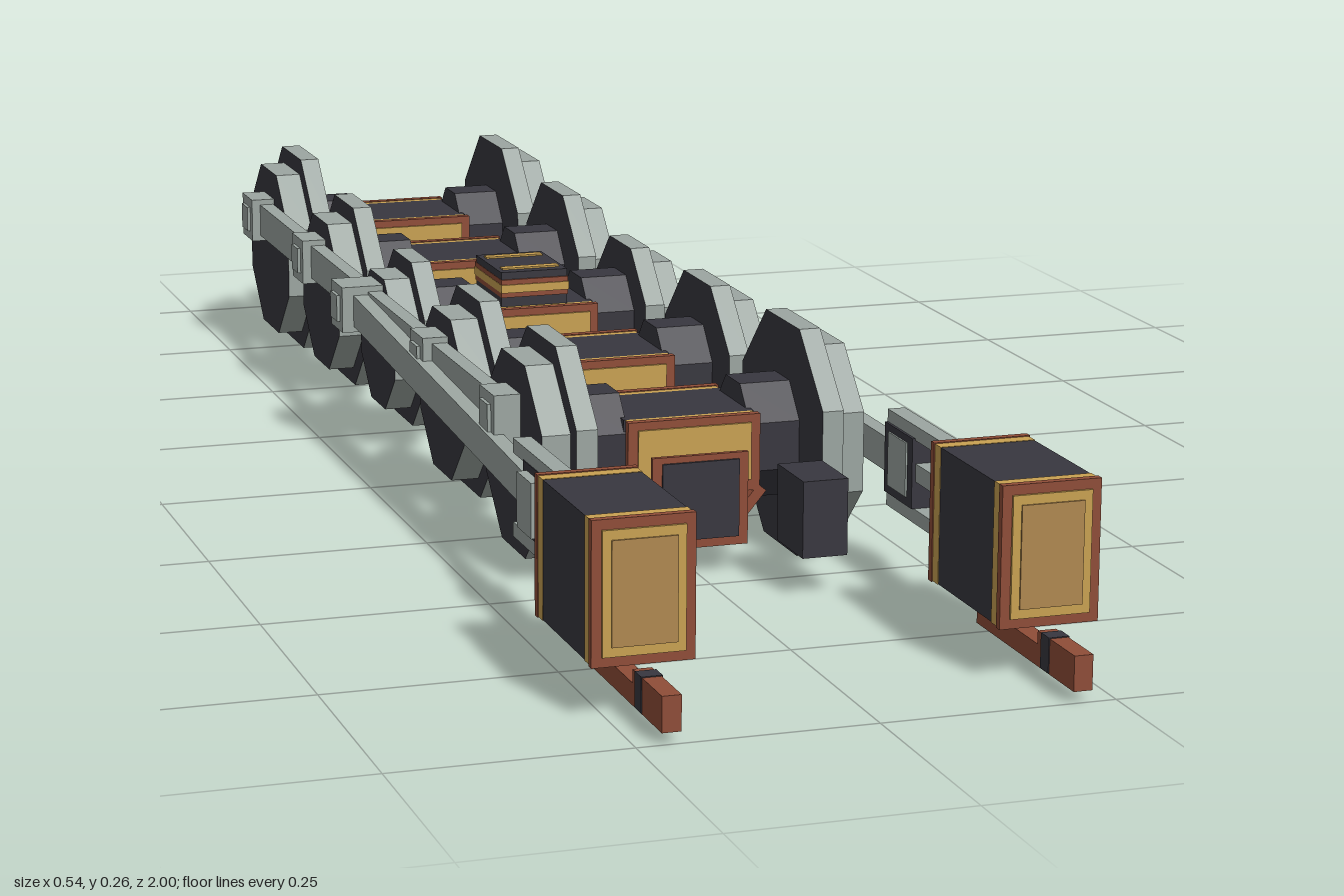
import * as THREE from 'three';

const mat = (name, color) => {
  const m = new THREE.MeshStandardMaterial({ color, flatShading: true });
  m.name = name;
  return m;
};

export function createModel() {
  const steel = mat('steel', 0x9ca6a1);
  const iron = mat('darkIron', 0x38373f);
  const copper = mat('copper', 0x8f4d38);
  const gold = mat('gold', 0xc9a152);
  const bronze = mat('bronze', 0xb08850);

  const model = new THREE.Group();
  model.name = 'runningGear';

  const group = (name, parent = model) => {
    const g = new THREE.Group();
    g.name = name;
    parent.add(g);
    return g;
  };
  // Box given by its limits on each axis
  const box = (name, parent, m, x0, x1, y0, y1, z0, z1) => {
    const mesh = new THREE.Mesh(new THREE.BoxGeometry(Math.abs(x1 - x0), y1 - y0, z1 - z0), m);
    mesh.position.set((x0 + x1) / 2, (y0 + y1) / 2, (z0 + z1) / 2);
    mesh.name = name;
    parent.add(mesh);
    return mesh;
  };
  // Flat-topped octagonal disc lying along x
  const octagon = (name, parent, m, apothem, x0, x1) => {
    const r = apothem / Math.cos(Math.PI / 8);
    const g = new THREE.CylinderGeometry(r, r, Math.abs(x1 - x0), 8);
    g.rotateY(Math.PI / 8).rotateZ(Math.PI / 2);
    const mesh = new THREE.Mesh(g, m);
    mesh.position.x = (x0 + x1) / 2;
    mesh.name = name;
    parent.add(mesh);
    return mesh;
  };
  // Flat rod between two points [y, z]
  const rod = (name, parent, x0, x1, a, b, height) => {
    const dy = b[0] - a[0], dz = b[1] - a[1];
    const mesh = new THREE.Mesh(new THREE.BoxGeometry(x1 - x0, height, Math.hypot(dy, dz)), steel);
    mesh.position.set((x0 + x1) / 2, (a[0] + b[0]) / 2, (a[1] + b[1]) / 2);
    mesh.rotation.x = -Math.atan2(dy, dz);
    mesh.name = name;
    parent.add(mesh);
  };

  const axleY = 0.13;
  const axles = [[0.37, 0.129], [0.08, 0.116], [-0.212, 0.102], [-0.5, 0.116], [-0.785, 0.129]];

  axles.forEach(([z, size], i) => {
    const axle = group('axle' + (i + 1));
    axle.position.set(0, axleY, z);

    // Wheels with bright rims and dark faces, and the thick axle hubs
    for (const s of [-1, 1]) {
      octagon('wheelFlange', axle, [steel, iron, iron], size, s * 0.128, s * 0.152);
      octagon('wheelTread', axle, [steel, iron, iron], size - 0.021, s * 0.152, s * 0.184);
      octagon('axleHub', axle, iron, 0.065, s * 0.07, s * 0.128).scale.z = 0.87;
    }

    // Central gearbox, with a dark core and banded ends
    box('gearboxCore', axle, iron, -0.075, 0.075, -0.043, 0.042, -0.055, 0.055);
    box('lowerCore', axle, iron, -0.05, 0.05, -0.095, 0.002, -0.083, 0.083);
    for (const s of [-1, 1]) {
      const slab = (name, m, x, y0, y1, za, zb) =>
        box(name, axle, m, -x, x, y0, y1, Math.min(s * za, s * zb), Math.max(s * za, s * zb));
      slab('gearboxBand', gold, 0.073, -0.043, 0.042, 0.055, 0.064);
      slab('gearboxEnd', copper, 0.076, -0.043, 0.043, 0.064, 0.074);
      slab('gearboxPanel', gold, 0.065, -0.03, 0.034, 0.074, 0.077);
      slab('lowerBand', gold, 0.05, -0.095, 0.004, 0.083, 0.089);
      slab('lowerEnd', copper, 0.055, -0.097, 0.007, 0.089, 0.095);
      slab('lowerPanel', iron, 0.044, -0.087, 0, 0.095, 0.098);
      // Slanted braces from the lower casing to the gearbox
      for (const t of [-1, 1]) {
        const brace = new THREE.Mesh(new THREE.BoxGeometry(0.012, 0.05, 0.012), copper);
        brace.position.set(t * 0.063, -0.06, s * 0.068);
        brace.rotation.z = -t * 0.7;
        brace.name = 'brace';
        axle.add(brace);
      }
    }
  });

  // Extra casing on top of the middle axle
  const mid = group('topCasing');
  mid.position.z = axles[2][0];
  box('casingCore', mid, iron, -0.042, 0.042, 0.17, 0.215, -0.055, 0.055);
  box('casingCopper', mid, copper, -0.0425, 0.0425, 0.184, 0.206, -0.058, 0.058);
  box('casingGold', mid, gold, -0.043, 0.043, 0.19, 0.2, -0.06, 0.06);
  for (const z of [-0.035, 0.035])
    box('casingStripe', mid, gold, -0.036, 0.036, 0.214, 0.217, z - 0.006, z + 0.006);

  // Frame blocks at both ends
  for (const s of [-1, 1]) {
    box('frontBlock', model, iron, s * 0.076, s * 0.127, 0.045, 0.13, 0.5, 0.58);
    box('rearBlock', model, iron, s * 0.076, s * 0.127, 0.045, 0.13, -1, -0.915);
  }

  // Rods and cylinders; the cranks of the two sides are a quarter turn apart
  for (const s of [-1, 1]) {
    const side = group(s > 0 ? 'leftDrive' : 'rightDrive');
    const pinY = s > 0 ? axleY : axleY + 0.045;
    const pinZ = s > 0 ? -0.045 : 0;
    const headZ = s > 0 ? 0.54 : 0.58;
    const span = (a, b) => [Math.min(s * a, s * b), Math.max(s * a, s * b)];

    rod('couplingRod', side, ...span(0.185, 0.203),
      [pinY, axles[4][0] + pinZ - 0.02], [pinY, axles[0][0] + pinZ + 0.02], 0.042);
    rod('connectingRod', side, ...span(0.203, 0.221),
      [pinY, axles[2][0] + pinZ], [axleY, headZ], 0.038);
    axles.forEach(([z], i) => {
      const c = z + pinZ, out = i === 2 ? 0.235 : 0.214;
      box('crankPin', side, steel, s * 0.17, s * out, pinY - 0.028, pinY + 0.028, c - 0.028, c + 0.028);
      box('pinCap', side, steel, s * out, s * (out + 0.004), pinY - 0.016, pinY + 0.016, c - 0.016, c + 0.016);
    });

    // Crosshead, slide bars and piston rod
    box('crossheadBody', side, iron, s * 0.2, s * 0.224, 0.09, 0.168, headZ - 0.04, headZ + 0.04);
    box('crosshead', side, steel, s * 0.198, s * 0.235, 0.1, 0.16, headZ - 0.026, headZ + 0.026);
    for (const y of [0.082, 0.174])
      box('slideBar', side, steel, s * 0.203, s * 0.223, y - 0.008, y + 0.008, 0.5, 0.73);
    box('pistonRod', side, steel, s * 0.204, s * 0.222, 0.12, 0.14, headZ, 0.73);

    // Banded cylinder box
    const cyl = group('cylinder', side);
    cyl.position.set(s * 0.214, axleY, 0.82);
    box('cylinderCore', cyl, iron, -0.052, 0.052, -0.073, 0.073, -0.07, 0.07);
    for (const t of [-1, 1]) {
      const slab = (name, m, x, y, a, b) =>
        box(name, cyl, m, -x, x, -y, y, Math.min(t * a, t * b), Math.max(t * a, t * b));
      slab('cylinderBand', gold, 0.0525, 0.0735, 0.07, 0.085);
      slab('cylinderEnd', copper, 0.0535, 0.0745, 0.085, 0.094);
      slab('endPanelRim', gold, 0.043, 0.064, 0.094, 0.097);
      slab('endPanel', bronze, 0.034, 0.054, 0.097, 0.099);
    }

    // Copper drain bar under the cylinder
    box('drainBar', side, copper, s * 0.204, s * 0.224, 0.013, 0.05, 0.91, 1);
    box('drainBarRear', side, copper, s * 0.204, s * 0.224, 0.013, 0.036, 0.76, 0.91);
    box('drainBarStay', side, copper, s * 0.204, s * 0.224, 0.013, 0.058, 0.755, 0.78);
    box('drainBarClip', side, iron, s * 0.203, s * 0.225, 0.014, 0.051, 0.92, 0.94);
  }

  // Set the lowest wheels on the ground
  model.children.forEach((c) => { c.position.y -= 0.001; });
  return model;
}
